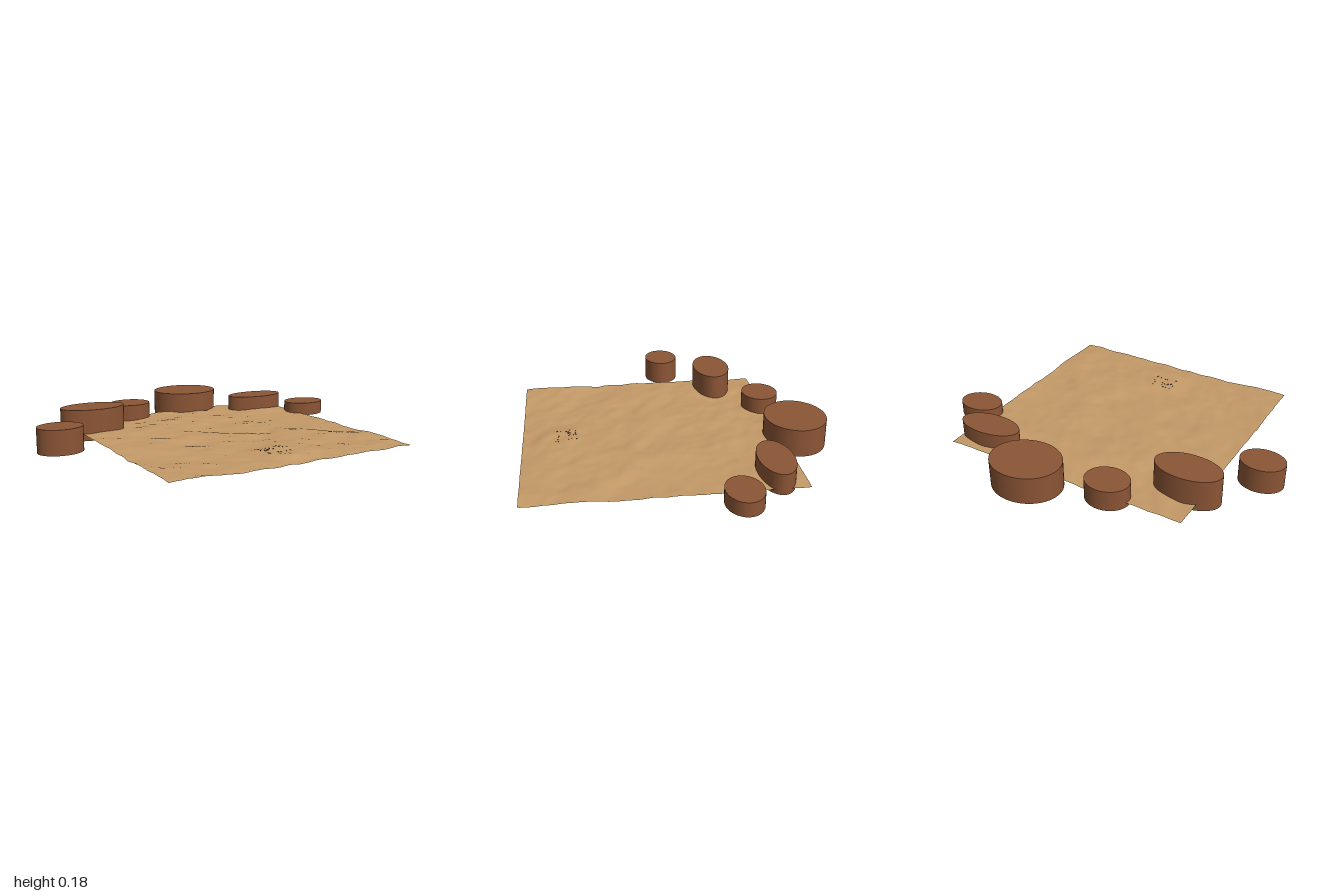
import * as THREE from 'three';

// Repeatable pseudo-random value for a lattice point
function hash(i, j) {
  const s = Math.sin(i * 127.1 + j * 311.7) * 43758.5453;
  return s - Math.floor(s);
}

// Smooth value noise in the range -1..1
function noise(x, z) {
  const i = Math.floor(x), j = Math.floor(z);
  const u = THREE.MathUtils.smoothstep(x - i, 0, 1);
  const v = THREE.MathUtils.smoothstep(z - j, 0, 1);
  const a = THREE.MathUtils.lerp(hash(i, j), hash(i + 1, j), u);
  const b = THREE.MathUtils.lerp(hash(i, j + 1), hash(i + 1, j + 1), u);
  return THREE.MathUtils.lerp(a, b, v) * 2 - 1;
}

// Height of the sand: diagonal ripples and one low mound near the front
function sandHeight(x, z) {
  const p = x * 0.8 + z * 0.6, q = z * 0.8 - x * 0.6;
  const ripples = 0.008 * noise(p * 4, q * 6) + 0.005 * noise(p * 9 + 7, q * 15)
    + 0.002 * noise(p * 20, q * 32 + 5);
  const d = Math.hypot((x - 0.1) / 0.22, (z - 0.64) / 0.17);
  return 0.04 + ripples + 0.008 * (1 - THREE.MathUtils.smoothstep(d, 0.5, 1.1));
}

export function createModel() {
  const model = new THREE.Group();
  const sand = new THREE.MeshStandardMaterial({ color: 0xc49a68, side: THREE.DoubleSide });
  sand.name = 'sand';
  const rock = new THREE.MeshStandardMaterial({ color: 0x8b5535 });
  rock.name = 'redRock';
  const dark = new THREE.MeshStandardMaterial({ color: 0x3a2a1c });
  dark.name = 'darkStone';

  // Rippled sheet of ground
  const ground = new THREE.PlaneGeometry(1.465, 1.465, 100, 100);
  ground.rotateX(-Math.PI / 2).translate(0.058, 0, 0.122);
  const pos = ground.attributes.position;
  for (let i = 0; i < pos.count; i++) pos.setY(i, sandHeight(pos.getX(i), pos.getZ(i)));
  ground.computeVertexNormals();
  const groundMesh = new THREE.Mesh(ground, sand);
  groundMesh.name = 'ground';
  model.add(groundMesh);

  // Arc of flat-topped rocks: centre x, z, radius x, z, bottom, top
  const mesas = [
    [-0.873, -0.05, 0.127, 0.103, 0.01, 0.15],
    [-0.578, -0.343, 0.192, 0.113, 0, 0.18],
    [-0.237, -0.587, 0.127, 0.108, 0.012, 0.13],
    [0.205, -0.685, 0.206, 0.175, 0.005, 0.163],
    [0.62, -0.465, 0.191, 0.098, 0.013, 0.13],
    [0.867, -0.245, 0.132, 0.1, 0.02, 0.1],
  ];
  const drum = new THREE.CylinderGeometry(1, 1, 1, 48);
  mesas.forEach(([x, z, rx, rz, y0, y1], i) => {
    const mesa = new THREE.Mesh(drum, rock);
    mesa.name = `mesa${i + 1}`;
    mesa.scale.set(rx, y1 - y0, rz);
    mesa.position.set(x, (y0 + y1) / 2, z);
    model.add(mesa);
  });

  // Scatter of tiny stones half sunk in the mound
  const pebbles = new THREE.Group();
  pebbles.name = 'pebbles';
  const pebbleShape = new THREE.IcosahedronGeometry(0.004, 0);
  for (let i = 0; i < 26; i++) {
    const x = -0.02 + 0.17 * hash(i, 51), z = 0.55 + 0.12 * hash(i, 87);
    const pebble = new THREE.Mesh(pebbleShape, dark);
    pebble.name = 'pebble';
    pebble.position.set(x, sandHeight(x, z) - 0.001, z);
    pebble.rotation.y = i;
    pebbles.add(pebble);
  }
  model.add(pebbles);
  return model;
}
